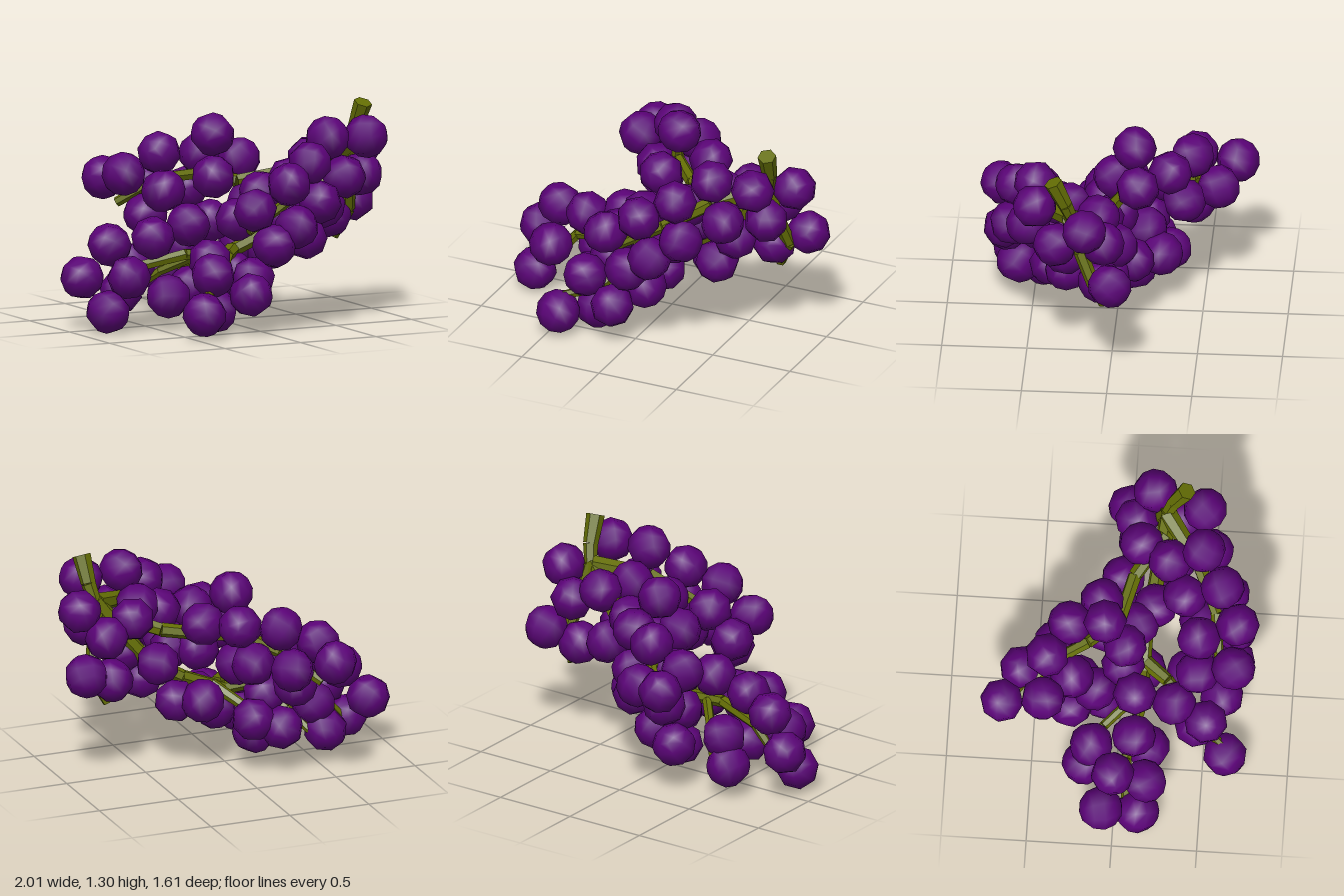
import * as THREE from 'three';

const grapeSkin = new THREE.MeshStandardMaterial({ color: 0x5b0278 });
const stemGreen = new THREE.MeshStandardMaterial({ color: 0x646e04, flatShading: true });

// Grape centres [x, y, z], grouped by the arm of the bunch they hang on
const CLUSTERS = {
  shoulderGrapes: [
    [0.73, 1.10, 0.44], [0.86, 1.01, 0.14], [0.76, 0.86, 0.32], [0.73, 0.86, 0.04],
    [0.88, 0.66, -0.01], [0.69, 0.585, 0.06], [0.54, 0.68, 0.27], [0.42, 0.50, 0.27],
    [0.55, 0.94, 0.08], [0.43, 0.68, -0.02], [0.45, 0.96, 0.25],
  ],
  frontGrapes: [
    [0.47, 1.11, 0.45], [0.56, 0.88, 0.49], [0.29, 0.99, 0.57], [0.10, 0.89, 0.67],
    [0.34, 0.76, 0.60], [-0.12, 0.75, 0.66], [0.16, 0.63, 0.65], [0.01, 0.53, 0.65],
    [0.27, 0.87, 0.35], [0.03, 0.82, 0.45], [-0.13, 0.67, 0.45], [0.20, 0.65, 0.45],
  ],
  backGrapes: [
    [0, 1.09, -0.10], [0.19, 0.93, -0.13], [0.03, 0.95, -0.31], [-0.18, 0.95, -0.43],
    [-0.02, 0.74, -0.39], [-0.23, 0.75, -0.28], [-0.27, 0.59, -0.43], [-0.19, 0.74, -0.58],
    [-0.42, 0.79, -0.68], [-0.41, 0.84, -0.44],
  ],
  middleGrapes: [
    [-0.06, 0.86, 0.02], [-0.08, 0.60, 0.01], [0.14, 0.70, 0.08], [0.26, 0.70, 0.18],
    [-0.26, 0.60, 0.09], [0.29, 0.41, 0.04], [0.18, 0.44, -0.10], [0.01, 0.30, 0.13],
    [-0.19, 0.45, -0.15], [-0.15, 0.20, -0.09], [-0.08, 0.34, -0.25], [-0.24, 0.28, -0.29],
  ],
  lowerFrontGrapes: [
    [-0.24, 0.42, 0.32], [-0.32, 0.36, 0.51], [-0.11, 0.24, 0.59], [-0.44, 0.15, 0.63],
    [-0.27, 0.14, 0.45], [0.01, 0.30, 0.39],
  ],
  tipGrapes: [
    [-0.50, 0.54, 0.10], [-0.73, 0.50, -0.01], [-0.88, 0.31, -0.07], [-0.70, 0.33, 0.18],
    [-0.82, 0.13, 0.14], [-0.56, 0.19, -0.19], [-0.50, 0.35, -0.15], [-0.44, 0.20, 0.18],
  ],
};

// Stem paths: start radius, end radius, points
const STEMS = {
  stemTip: [0.034, 0.055, [[0.72, 0.99, 0.21], [0.755, 1.13, 0.26], [0.77, 1.285, 0.33]]],
  mainStem: [0.055, 0.028, [[0.73, 1.03, 0.23], [0.58, 0.83, 0.2], [0.42, 0.63, 0.17], [0.22, 0.52, 0.13],
    [-0.05, 0.41, 0.13], [-0.3, 0.43, 0.12], [-0.58, 0.37, 0.06], [-0.77, 0.15, 0.07]]],
  sideStem: [0.045, 0.035, [[0.72, 1.02, 0.22], [0.76, 0.82, 0.17], [0.8, 0.62, 0.09], [0.72, 0.46, 0.04]]],
  frontStem: [0.055, 0.025, [[0.72, 1.02, 0.22], [0.45, 0.95, 0.42], [0.2, 0.8, 0.54], [-0.12, 0.61, 0.58]]],
  backStem: [0.045, 0.03, [[0.62, 0.93, 0.21], [0.38, 0.86, 0.05], [0.12, 0.82, -0.02], [-0.05, 0.85, -0.2],
    [-0.18, 0.8, -0.43], [-0.37, 0.65, -0.6]]],
  lowerFrontStem: [0.045, 0.025, [[0, 0.44, 0.14], [-0.1, 0.43, 0.27], [-0.27, 0.26, 0.46], [-0.42, 0.25, 0.61]]],
  lowerBackStem: [0.035, 0.025, [[0.03, 0.45, 0.12], [-0.13, 0.33, -0.07], [-0.2, 0.3, -0.28]]],
  lowerSideStem: [0.03, 0.025, [[-0.2, 0.42, 0.1], [-0.36, 0.31, -0.08], [-0.46, 0.2, -0.2]]],
};

// Small seeded generator, used only to turn the grapes
let seed = 7;
const rand = () => (seed = (seed * 16807) % 2147483647) / 2147483647;

// Six-sided tapered segment between two points
function segment(a, b, ra, rb) {
  const dir = b.clone().sub(a);
  const mesh = new THREE.Mesh(new THREE.CylinderGeometry(rb, ra, dir.length(), 6), stemGreen);
  mesh.position.copy(a).add(b).multiplyScalar(0.5);
  mesh.quaternion.setFromUnitVectors(new THREE.Vector3(0, 1, 0), dir.normalize());
  return mesh;
}

export function createModel() {
  const model = new THREE.Group();
  model.name = 'grapeBunch';

  // Grapes
  const grapeGeometry = new THREE.SphereGeometry(0.13, 8, 6);
  for (const [name, centres] of Object.entries(CLUSTERS)) {
    const cluster = new THREE.Group();
    cluster.name = name;
    for (const c of centres) {
      const grape = new THREE.Mesh(grapeGeometry, grapeSkin);
      grape.name = 'grape';
      grape.position.set(...c);
      grape.rotation.set(rand() * 6, rand() * 6, rand() * 6);
      cluster.add(grape);
    }
    model.add(cluster);
  }

  // Stems
  for (const [name, [r0, r1, path]] of Object.entries(STEMS)) {
    const stem = new THREE.Group();
    stem.name = name;
    const points = path.map((p) => new THREE.Vector3(...p));
    const radius = (i) => THREE.MathUtils.lerp(r0, r1, i / (points.length - 1));
    for (let i = 0; i < points.length - 1; i++) {
      const part = segment(points[i], points[i + 1], radius(i), radius(i + 1));
      part.name = 'stemSegment';
      stem.add(part);
    }
    model.add(stem);
  }
  return model;
}
